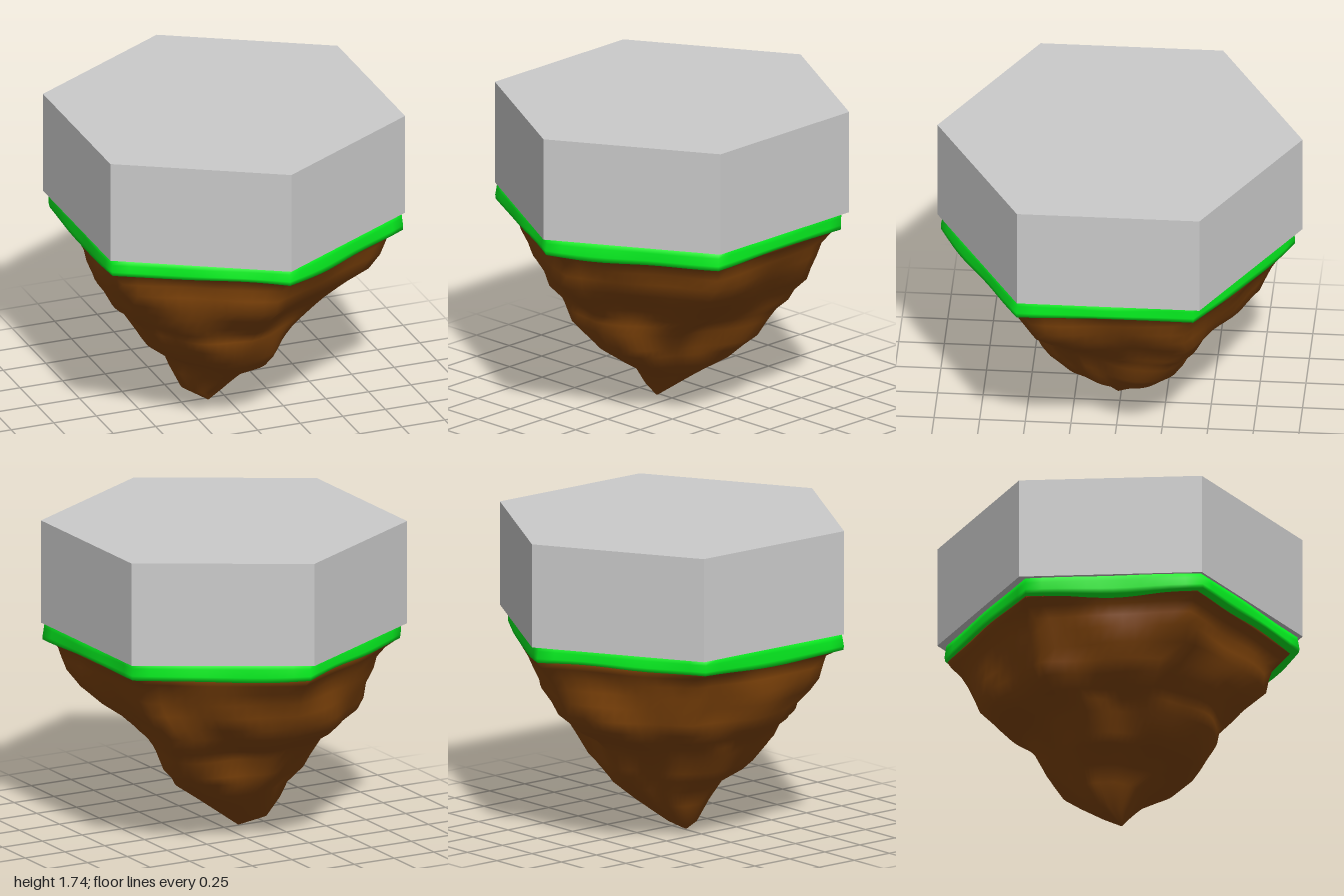
import * as THREE from 'three';

const SIDES = 72;

// radius of a hexagon with corners on the z axis, corner radius 1
function hexRadius(a) {
  const k = Math.PI / 3;
  return Math.cos(k / 2) / Math.cos((((a % k) + k) % k) - k / 2);
}

// knobs and hollows: [angle from +z in degrees, height, angular spread, height spread, amount]
const LOBES = [
  [123, 0.47, 22, 0.14, 0.24],
  [305, 0.28, 28, 0.1, -0.16],
  [305, 0.62, 30, 0.1, 0.06],
  [350, 0.5, 22, 0.15, 0.08],
  [35, 0.72, 16, 0.14, -0.05],
  [62, 0.4, 26, 0.12, -0.12],
  [215, 0.32, 28, 0.11, -0.1],
  [215, 0.6, 28, 0.1, 0.05],
  [236, 0.07, 30, 0.07, 0.4],
  [63, 0.07, 30, 0.07, 0.3],
];

function lobes(a, y) {
  let sum = 0;
  for (const [deg, height, spread, tall, amount] of LOBES) {
    const d = (((a * 180 / Math.PI - deg + 540) % 360) - 180) / spread;
    const h = (y - height) / tall;
    sum += amount * Math.exp(-d * d - h * h);
  }
  return sum;
}

// smaller uneven waves around each ring
function waves(a, y) {
  return 0.4 * Math.sin(3 * a + 4 * y + 0.6) + 0.35 * Math.sin(5 * a - 7 * y + 2) + 0.3 * Math.sin(9 * a + 11 * y);
}

// stacked rings, top to bottom: [y, xMin, xMax, zMin, zMax, roundness, wave size, y ripple]
function loft(sections) {
  const pos = [], index = [];
  for (const [y, x0, x1, z0, z1, round, bump, ripple] of sections) {
    const ring = [];
    for (let j = 0; j < SIDES; j++) {
      const a = (j / SIDES) * Math.PI * 2;
      const r = THREE.MathUtils.lerp(hexRadius(a), 0.93, round) + bump * waves(a, y) + lobes(a, y);
      ring.push([r * Math.sin(a), r * Math.cos(a), a]);
    }
    // fit each ring to its width and depth
    const xs = ring.map(p => p[0]), zs = ring.map(p => p[1]);
    const fit = (v, list, lo, hi) =>
      THREE.MathUtils.mapLinear(v, Math.min(...list), Math.max(...list), lo, hi);
    for (const [x, z, a] of ring) {
      const wave = -ripple * (Math.cos(3 * (a - 0.54)) + 0.5 * Math.sin(7 * a));
      pos.push(fit(x, xs, x0, x1), y + wave, fit(z, zs, z0, z1));
    }
  }
  const rows = sections.length;
  for (let i = 0; i < rows - 1; i++) {
    for (let j = 0; j < SIDES; j++) {
      const k = (j + 1) % SIDES;
      const a = i * SIDES + j, d = i * SIDES + k;
      index.push(a, a + SIDES, d, a + SIDES, d + SIDES, d);
    }
  }
  // end caps
  const cap = (row, up) => {
    const [y, x0, x1, z0, z1] = sections[row];
    const c = pos.length / 3;
    pos.push((x0 + x1) / 2, y, (z0 + z1) / 2);
    for (let j = 0; j < SIDES; j++) {
      const a = row * SIDES + j, b = row * SIDES + ((j + 1) % SIDES);
      if (up) index.push(c, a, b);
      else index.push(c, b, a);
    }
  };
  cap(0, true);
  cap(rows - 1, false);
  const geo = new THREE.BufferGeometry();
  geo.setAttribute('position', new THREE.Float32BufferAttribute(pos, 3));
  geo.setIndex(index);
  geo.computeVertexNormals();
  return geo;
}

function addPart(group, name, geometry, options) {
  const mesh = new THREE.Mesh(geometry, new THREE.MeshStandardMaterial(options));
  mesh.name = name;
  group.add(mesh);
  return mesh;
}

export function createModel() {
  const group = new THREE.Group();
  group.name = 'floatingIslandTile';

  // plain hexagonal block on top
  const block = addPart(group, 'hexBlock', new THREE.CylinderGeometry(1, 1, 0.58, 6),
    { color: 0xcccccc, flatShading: true });
  block.position.y = 1.45;

  // grass rim with a wavy lower lip
  addPart(group, 'grassRim', loft([
    [1.159, -0.845, 0.85, -0.93, 0.945, 0.08, 0.008, 0],
    [1.157, -0.86, 0.862, -0.95, 0.97, 0.08, 0.01, 0],
    [1.13, -0.862, 0.863, -0.955, 0.975, 0.08, 0.012, 0],
    [1.09, -0.864, 0.864, -0.96, 0.982, 0.08, 0.012, 0.005],
    [1.066, -0.86, 0.862, -0.958, 0.98, 0.08, 0.012, 0.009],
    [1.058, -0.78, 0.79, -0.9, 0.9, 0.08, 0.012, 0.009],
  ]), { color: 0x05f020 });

  // tapering rock below
  addPart(group, 'rock', loft([
    [1.085, -0.84, 0.845, -0.94, 0.94, 0.06, 0.012, 0],
    [1.06, -0.83, 0.84, -0.945, 0.93, 0.08, 0.015, 0],
    [1.03, -0.785, 0.805, -0.925, 0.88, 0.15, 0.02, 0.003],
    [0.97, -0.77, 0.79, -0.87, 0.835, 0.2, 0.035, 0.004],
    [0.9, -0.77, 0.775, -0.83, 0.815, 0.25, 0.04, 0.006],
    [0.82, -0.74, 0.73, -0.795, 0.8, 0.35, 0.05, 0.006],
    [0.74, -0.705, 0.66, -0.765, 0.71, 0.4, 0.055, 0.006],
    [0.67, -0.67, 0.575, -0.7, 0.64, 0.5, 0.06, 0.006],
    [0.61, -0.59, 0.54, -0.63, 0.565, 0.6, 0.06, 0.006],
    [0.56, -0.56, 0.5, -0.54, 0.545, 0.65, 0.06, 0.004],
    [0.5, -0.525, 0.47, -0.485, 0.535, 0.7, 0.06, 0],
    [0.4, -0.465, 0.43, -0.43, 0.46, 0.8, 0.05, 0],
    [0.35, -0.43, 0.375, -0.405, 0.425, 0.8, 0.05, 0],
    [0.27, -0.325, 0.295, -0.33, 0.32, 0.9, 0.05, 0],
    [0.18, -0.285, 0.16, -0.24, 0.165, 1, 0.04, 0],
    [0.06, -0.225, -0.01, -0.11, 0.06, 1, 0.02, 0],
    [0, -0.105, -0.095, 0.01, 0.02, 1, 0, 0],
  ]), { color: 0x82450a });

  return group;
}
